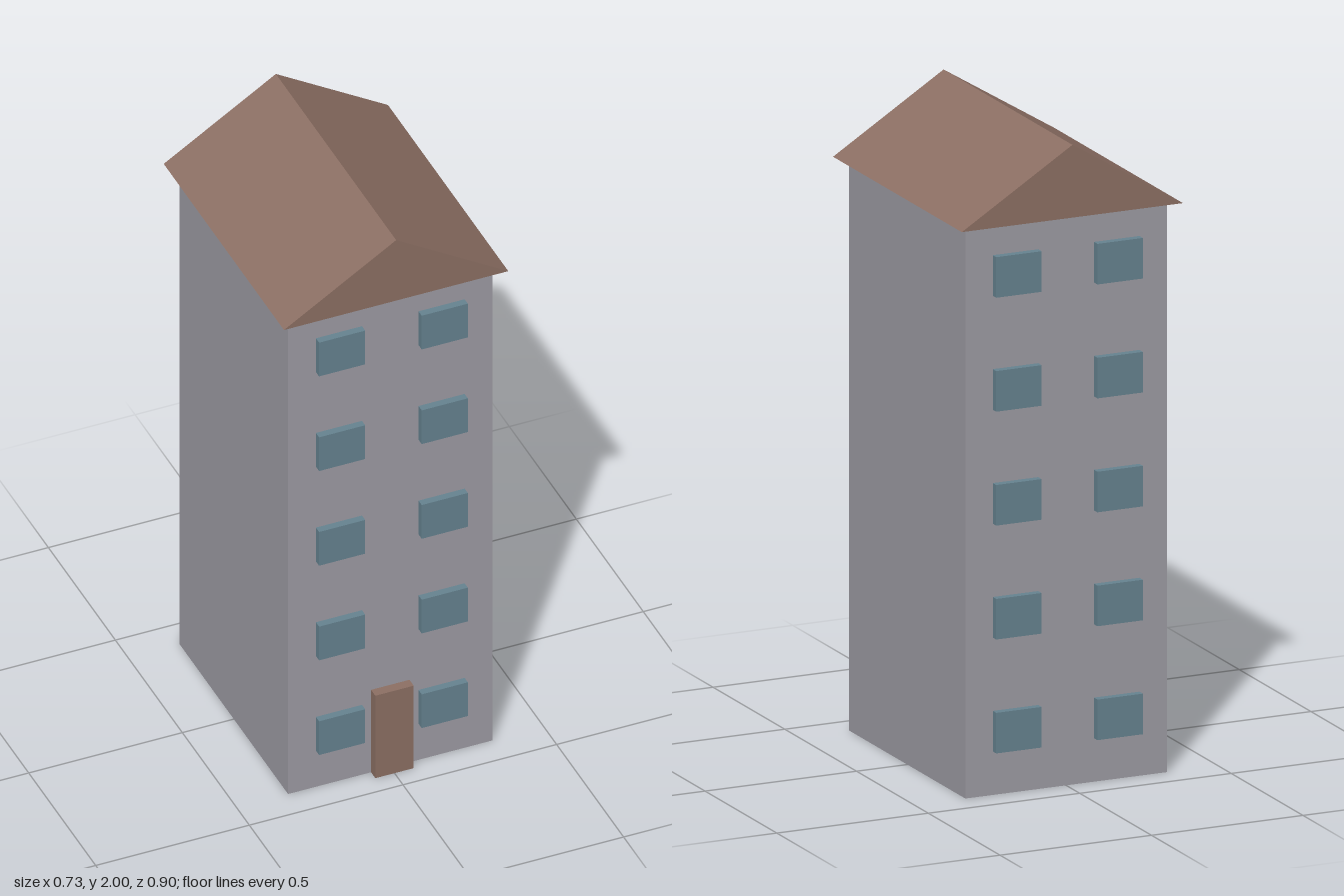
import * as THREE from 'three';

export function createModel() {
  const group = new THREE.Group();
  const material = (name, color) => {
    const m = new THREE.MeshStandardMaterial({ color });
    m.name = name;
    return m;
  };
  const wallGrey = material('wallGrey', 0x9e9ca4);
  const brown = material('brown', 0x8d7064);
  const glassBlue = material('glassBlue', 0x668390);

  const add = (name, geometry, mat, x, y, z) => {
    const mesh = new THREE.Mesh(geometry, mat);
    mesh.name = name;
    mesh.position.set(x, y, z);
    group.add(mesh);
  };

  const wallHeight = 1.774;
  const wallDepth = 0.81;
  const front = wallDepth / 2;

  // Tower block
  add('walls', new THREE.BoxGeometry(0.665, wallHeight, wallDepth), wallGrey, 0, wallHeight / 2, 0);

  // Gabled roof, overhanging on every side
  const gable = new THREE.Shape([
    new THREE.Vector2(-0.365, 0),
    new THREE.Vector2(0.365, 0),
    new THREE.Vector2(0, 2 - wallHeight),
  ]);
  const roofDepth = 0.898;
  const roof = new THREE.ExtrudeGeometry(gable, { depth: roofDepth, bevelEnabled: false });
  add('roof', roof, brown, 0, wallHeight, -roofDepth / 2);

  // Door on the front
  add('door', new THREE.BoxGeometry(0.125, 0.308, 0.05), brown, 0, 0.154, front + 0.007);

  // Two windows per floor on front and back
  const pane = new THREE.BoxGeometry(0.15, 0.126, 0.04);
  for (let floor = 0; floor < 5; floor++) {
    for (const side of [-1, 1]) {
      for (const face of [-1, 1]) {
        add(face > 0 ? 'frontWindow' : 'backWindow', pane, glassBlue,
          side * 0.167, 0.198 + floor * 0.3537, face * (front + 0.004));
      }
    }
  }
  return group;
}
